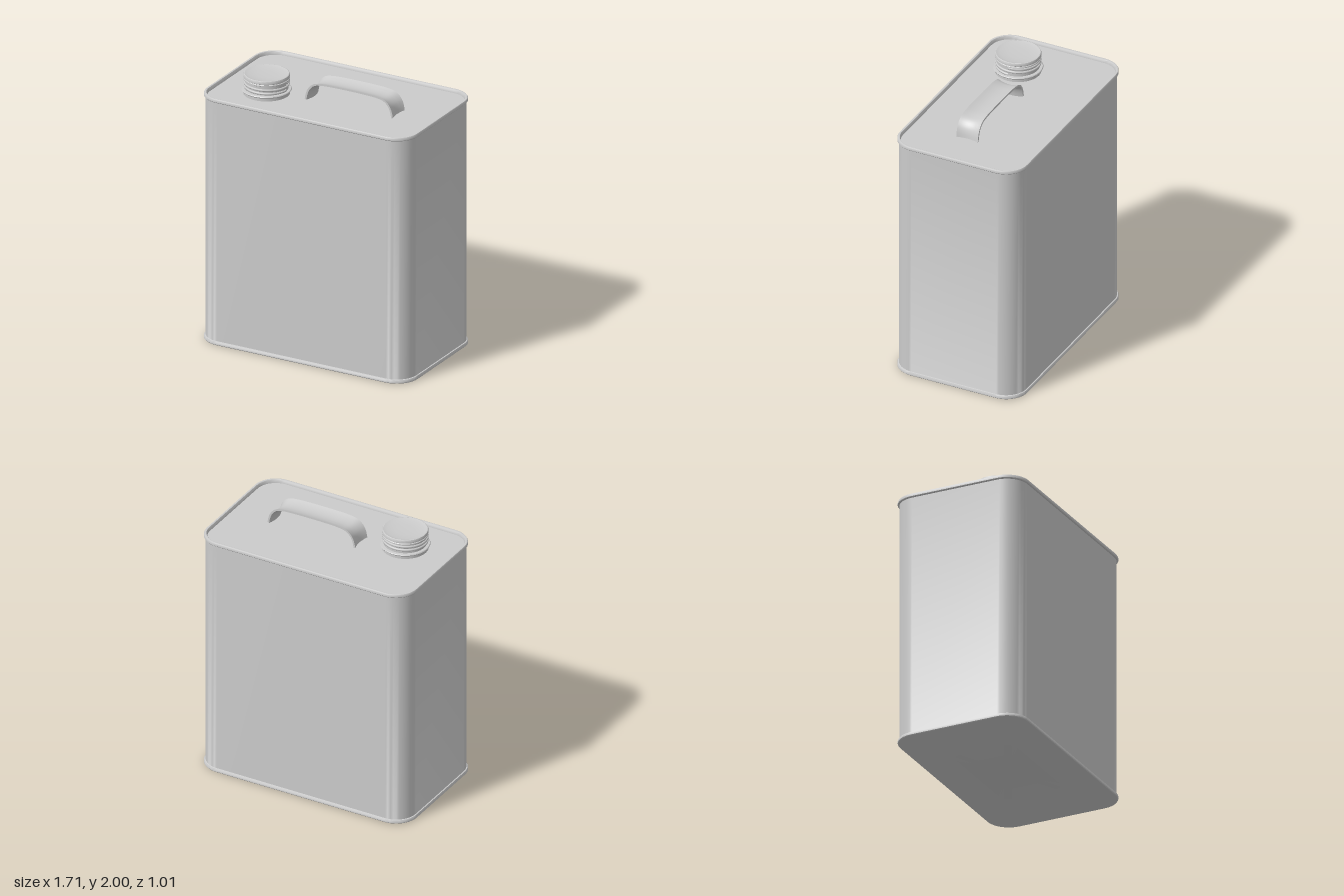
import * as THREE from 'three';
import { mergeVertices, toCreasedNormals } from 'three/addons/utils/BufferGeometryUtils.js';

const material = new THREE.MeshStandardMaterial({ color: 0xcccccc, side: THREE.DoubleSide });

function addMesh(parent, name, geometry) {
  const mesh = new THREE.Mesh(geometry, material);
  mesh.name = name;
  parent.add(mesh);
  return mesh;
}

// Joins equal closed rings of points; optional flat end caps, creased normals
function loft(rings, crease = 0.6) {
  const n = rings[0].length, positions = [], index = [];
  rings.forEach(ring => ring.forEach(p => positions.push(p.x, p.y, p.z)));
  for (let r = 0; r < rings.length - 1; r++) {
    for (let i = 0; i < n; i++) {
      const j = (i + 1) % n, a = r * n + i, b = r * n + j;
      index.push(a, a + n, b, b, a + n, b + n);
    }
  }
  [rings[0], rings[rings.length - 1]].forEach((ring, end) => {
    const centre = ring.reduce((sum, p) => sum.add(p), new THREE.Vector3()).divideScalar(n);
    const c = positions.length / 3, base = end * (rings.length - 1) * n;
    positions.push(centre.x, centre.y, centre.z);
    for (let i = 0; i < n; i++) {
      const a = base + i, b = base + (i + 1) % n;
      index.push(c, end ? b : a, end ? a : b);
    }
  });
  const g = new THREE.BufferGeometry();
  g.setAttribute('position', new THREE.Float32BufferAttribute(positions, 3));
  g.setIndex(index);
  return toCreasedNormals(mergeVertices(g), crease);
}

// Rounded rectangle ring at height y, pulled in from the widest outline by inset
function outline(inset, y, steps = 12) {
  const hx = 0.853 - inset, hz = 0.505 - inset, radius = 0.17 - inset, points = [];
  [[1, 1], [-1, 1], [-1, -1], [1, -1]].forEach(([sx, sz], corner) => {
    for (let i = 0; i <= steps; i++) {
      const a = (corner + i / steps) * Math.PI / 2;
      points.push(new THREE.Vector3(
        sx * (hx - radius) + Math.cos(a) * radius, y,
        sz * (hz - radius) + Math.sin(a) * radius));
    }
  });
  return points;
}

function makeHandle() {
  const path = new THREE.CatmullRomCurve3([
    [-0.16, 1.85], [-0.152, 1.89], [-0.135, 1.93], [-0.1, 1.963], [-0.04, 1.977], [0.06, 1.982],
    [0.18, 1.983],
    [0.3, 1.982], [0.4, 1.977], [0.46, 1.963], [0.495, 1.93], [0.512, 1.89], [0.52, 1.85],
  ].map(([x, y]) => new THREE.Vector3(x, y, 0)));
  const rings = [], steps = 60, across = 12, thickness = 0.014;
  for (let k = 0; k <= steps; k++) {
    const p = path.getPointAt(k / steps), t = path.getTangentAt(k / steps);
    const ring = [];
    // The strip is dished along its length, so both edges stand proud
    const point = (s, depth) => {
      const out = 0.017 * s * s - depth;
      ring.push(new THREE.Vector3(p.x - t.y * out, p.y + t.x * out, 0.05 + s * 0.085));
    };
    for (let i = 0; i <= across; i++) point(1 - 2 * i / across, 0);
    for (let i = 0; i <= across; i++) point(-1 + 2 * i / across, thickness);
    rings.push(ring.reverse());
  }
  return loft(rings);
}

function lathe(profile) {
  const g = new THREE.LatheGeometry(profile.map(([r, y]) => new THREE.Vector2(r, y)), 64);
  g.deleteAttribute('normal');
  g.deleteAttribute('uv');
  return toCreasedNormals(mergeVertices(g), 0.6);
}

export function createModel() {
  const model = new THREE.Group();
  model.name = 'metalCan';

  // Can shell: bottom seam, walls, top seam and recessed lid
  const profile = [
    [0.012, 0], [0.004, 0.002], [0, 0.007], [0, 0.022], [0.004, 0.028], [0.012, 0.03],
    [0.012, 1.848], [0.004, 1.85], [0, 1.855], [0, 1.869], [0.004, 1.876], [0.01, 1.878],
    [0.018, 1.876], [0.022, 1.87], [0.024, 1.85],
  ];
  addMesh(model, 'canBody', loft(profile.map(([inset, y]) => outline(inset, y))));

  addMesh(model, 'handle', makeHandle());

  // Spout collar and screw cap
  const spout = new THREE.Group();
  spout.name = 'spout';
  spout.position.set(-0.47, 0, 0.16);
  model.add(spout);
  addMesh(spout, 'collar', lathe([
    [0.165, 1.85], [0.165, 1.872], [0.174, 1.876], [0.178, 1.882], [0.174, 1.888], [0.15, 1.89],
  ]));
  addMesh(spout, 'cap', lathe([
    [0.154, 1.885], [0.154, 1.955], [0.163, 1.96], [0.163, 1.967], [0.158, 1.971],
    [0.163, 1.975], [0.164, 1.992], [0.161, 1.998], [0.156, 2], [0.148, 1.998],
    [0.13, 1.994], [0.07, 1.991], [0, 1.99],
  ]));

  // Screw thread winding up the cap wall
  const thread = [];
  for (let i = 0; i <= 72; i++) {
    const a = i / 72 * Math.PI * 4;
    thread.push(new THREE.Vector3(Math.cos(a) * 0.155, 1.898 + 0.052 * i / 72, Math.sin(a) * 0.155));
  }
  addMesh(spout, 'thread',
    new THREE.TubeGeometry(new THREE.CatmullRomCurve3(thread), 160, 0.009, 8));

  return model;
}
